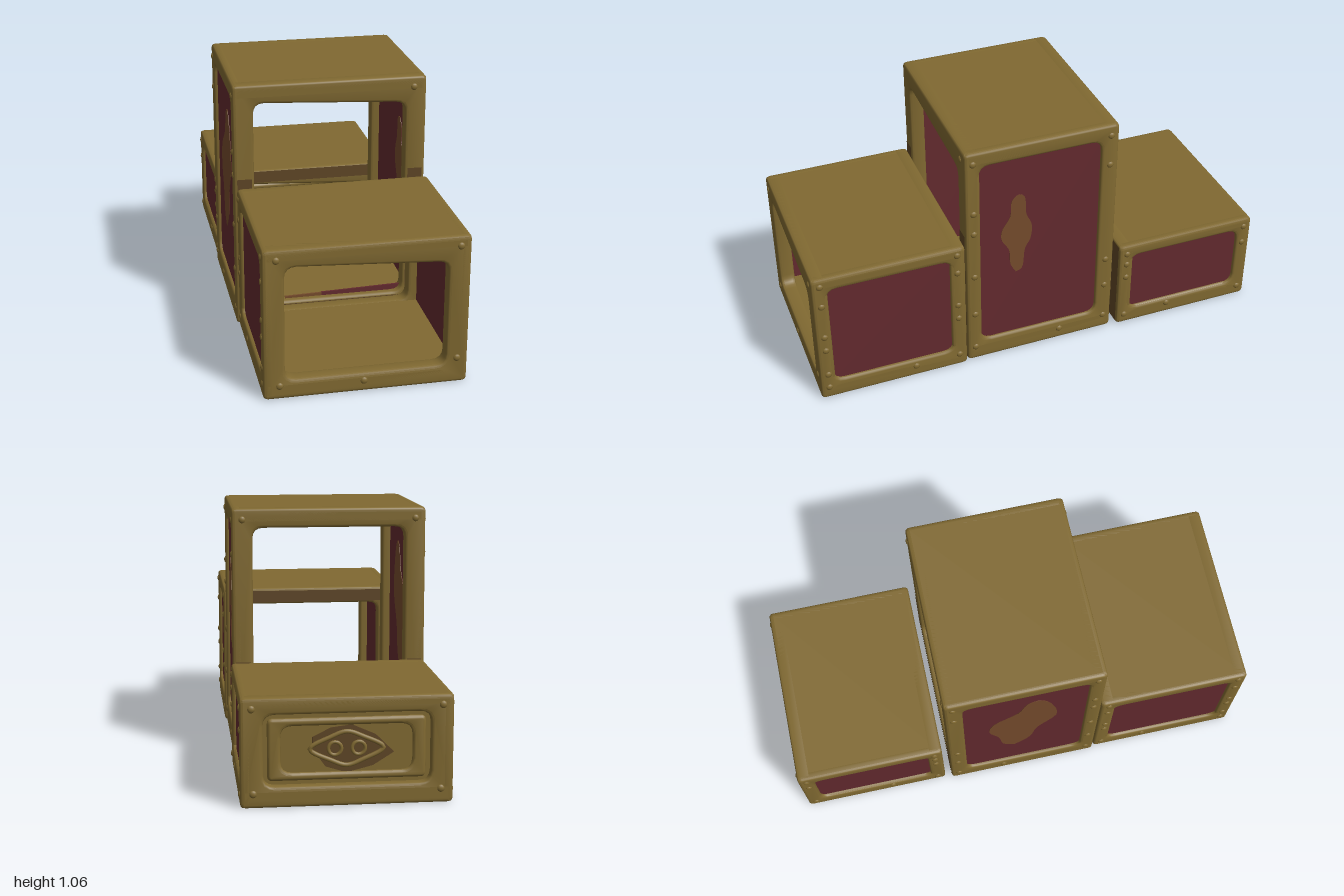
import * as THREE from 'three';
import { toCreasedNormals } from 'three/addons/utils/BufferGeometryUtils.js';
import { RoundedBoxGeometry } from 'three/addons/geometries/RoundedBoxGeometry.js';

const paint = (name, color) => Object.assign(new THREE.MeshStandardMaterial({ color }), { name });

export function createModel() {
  const gold = paint('old brass', 0x806931);
  const red = paint('dark red', 0x632a2e);
  const rust = paint('rust mark', 0x754b2c);
  const bronze = paint('dark bronze', 0x5e4525);

  const model = new THREE.Group();
  model.name = 'threeCrates';

  const add = (parent, name, geometry, material, x = 0, y = 0, z = 0) => {
    const mesh = new THREE.Mesh(geometry, material);
    mesh.name = name;
    mesh.position.set(x, y, z);
    parent.add(mesh);
    return mesh;
  };

  // Rectangle with eased corners; its top can drop towards x1
  const outline = (C, x0, x1, y0, y1, r, drop = 0) => {
    const s = new C(), yr = y1 - drop;
    s.moveTo(x0 + r, y0);
    s.lineTo(x1 - r, y0);
    s.quadraticCurveTo(x1, y0, x1, y0 + r);
    s.lineTo(x1, yr - r);
    s.quadraticCurveTo(x1, yr, x1 - r, yr);
    s.lineTo(x0 + r, y1);
    s.quadraticCurveTo(x0, y1, x0, y1 - r);
    s.lineTo(x0, y0 + r);
    s.quadraticCurveTo(x0, y0, x0 + r, y0);
    return s;
  };

  // Bevelled frame with an opening, centred on its depth
  const frame = (outer, hole, depth, drop = 0) => {
    const shape = outline(THREE.Shape, ...outer, 0.02);
    shape.holes.push(outline(THREE.Path, ...hole, 0.045, drop));
    const b = 0.012;
    const g = new THREE.ExtrudeGeometry(shape, {
      depth: depth - 2 * b, bevelThickness: b, bevelSize: b, bevelOffset: -b,
      bevelSegments: 3, curveSegments: 4,
    });
    g.translate(0, 0, b - depth / 2);
    return toCreasedNormals(g, 0.7);
  };

  const rivetGeometry = new THREE.SphereGeometry(0.015, 10, 8);
  const rivet = (parent, x, y, z, axis) => {
    const m = add(parent, 'rivet', rivetGeometry, gold, x, y, z);
    m.scale[axis] = 0.6;
  };

  // z0/z1: back and front, h: height, side: panel [z0, z1, y0, y1], door: opening [y0, y1],
  // dark: heights of the stained ends [back, front], doorRivets: [x, y, face z]
  const crates = [
    { name: 'frontCrate', shift: 0.003, z0: 0.35, z1: 0.995, h: 0.625,
      side: [0.41, 0.935, 0.088, 0.565], door: [0.082, 0.552], dark: [0.613, 0],
      posts: [[0.06, 0.13, 0.26, 0.33, 0.49, 0.59], [0.06, 0.26, 0.33, 0.5, 0.59]], sill: 0.58,
      doorRivets: [[-0.35, 0.585, 0.993], [0.36, 0.585, 0.993], [-0.34, 0.06, 0.993], [0.36, 0.11, 0.993], [-0.01, 0.05, 0.993]] },
    { name: 'tallCrate', shift: -0.006, z0: -0.325, z1: 0.343, h: 1.06,
      side: [-0.25, 0.28, 0.1, 0.99], door: [0.09, 0.98], dark: [0.42, 0.66],
      posts: [[0.07, 0.25, 0.45, 0.67, 0.77, 1.01], [0.07, 0.24, 0.38, 0.87, 1.01]], sill: -0.08,
      doorRivets: [[0.35, 1.015, 0.341], [-0.36, 1.015, -0.323], [0.36, 1.015, -0.323]] },
    { name: 'rearCrate', shift: 0.004, z0: -0.995, z1: -0.355, h: 0.425,
      side: [-0.93, -0.41, 0.08, 0.37], door: [0.085, 0.36], dark: [0, 0.422],
      posts: [[0.05, 0.26, 0.33, 0.385], [0.05, 0.3, 0.385]], sill: -0.6,
      doorRivets: [[-0.355, 0.06, -0.993], [0.355, 0.06, -0.993], [-0.36, 0.385, -0.993], [0.36, 0.385, -0.993]] },
  ];

  for (const { name, shift, z0, z1, h, side, door, dark, posts, sill, doorRivets } of crates) {
    const crate = new THREE.Group();
    crate.name = name;
    crate.position.x = shift;
    model.add(crate);
    const zc = (z0 + z1) / 2, depth = z1 - z0, base = 0.004;

    // Floor and roof
    const floorH = door[0] - 0.006, roofH = h - side[3];
    add(crate, 'floor', new RoundedBoxGeometry(0.805, floorH, depth, 3, 0.018), gold, 0, base + floorH / 2, zc);
    add(crate, 'roof', new RoundedBoxGeometry(0.805, roofH, depth, 3, 0.018), gold, 0, h - roofH / 2, zc);

    // Door frames; the front lintel sags to one side
    const opening = [-0.318, 0.317, ...door], outer = [-0.402, 0.402, base, h];
    add(crate, 'frontFrame', frame(outer, opening, 0.065, 0.028), gold, 0, 0, z1 - 0.0325);
    add(crate, 'backFrame', frame(outer, opening, 0.065), gold, 0, 0, z0 + 0.0325);
    for (const [x, y, z] of doorRivets) rivet(crate, x, y, z, 'z');

    // Stained faces where the crates meet
    [[z0 - 0.002, Math.PI], [z1 + 0.002, 0]].forEach(([z, turn], i) => {
      const top = dark[i];
      if (!top) return;
      const plates = [[-0.39, -0.329, 0.016, top], [0.329, 0.39, 0.016, top], [-0.329, 0.329, 0.016, door[0] - 0.012]];
      if (top > door[1]) plates.push([-0.329, 0.329, door[1] + 0.008, top]);
      for (const [x0, x1, y0, y1] of plates) {
        add(crate, 'stainedFace', new THREE.PlaneGeometry(x1 - x0, y1 - y0), bronze,
          (x0 + x1) / 2, (y0 + y1) / 2, z).rotation.y = turn;
      }
    });

    // Side frames with recessed panels flush on the inside
    const sideFrame = frame([z0, z1, base, h], side, 0.045);
    sideFrame.rotateY(-Math.PI / 2);
    const panel = new THREE.BoxGeometry(0.033, side[3] - side[2] + 0.02, side[1] - side[0] + 0.02);
    for (const s of [-1, 1]) {
      add(crate, 'sideFrame', sideFrame, gold, s * 0.38, 0, 0);
      add(crate, 'sidePanel', panel, red, s * 0.371, (side[2] + side[3]) / 2, (side[0] + side[1]) / 2);

      // Rivets on the side posts and sill
      for (const y of posts[0]) rivet(crate, s * 0.4, y, z1 - 0.035, 'x');
      for (const y of posts[1]) rivet(crate, s * 0.4, y, z0 + 0.035, 'x');
      rivet(crate, s * 0.4, 0.055, sill, 'x');
    }
  }

  // Worn marks on both faces of the tall crate's panels; points are [z, y]
  const tall = model.getObjectByName('tallCrate');
  const mark = (points, s) => {
    const curve = new THREE.SplineCurve([...points, points[0]].map(p => new THREE.Vector2(...p)));
    const g = new THREE.ExtrudeGeometry(new THREE.Shape(curve.getPoints(48).slice(0, -1)),
      { depth: 0.004, bevelEnabled: false });
    g.translate(0, 0, -0.002);
    g.rotateY(-Math.PI / 2);
    for (const x of [0.3875, 0.3545]) add(tall, 'wornMark', g, rust, s * x);
  };
  mark([[0.12, 0.42], [0.145, 0.47], [0.15, 0.54], [0.183, 0.6], [0.18, 0.65], [0.145, 0.71], [0.14, 0.78],
    [0.11, 0.81], [0.08, 0.79], [0.075, 0.71], [0.05, 0.65], [0.055, 0.58], [0.08, 0.53], [0.09, 0.44]], 1);
  mark([[-0.03, 0.3], [0.04, 0.38], [0.07, 0.5], [0.15, 0.63], [0.13, 0.78], [0.08, 0.87], [0.02, 0.85],
    [-0.02, 0.75], [-0.12, 0.66], [-0.14, 0.56], [-0.1, 0.46], [-0.08, 0.35]], -1);

  // Rust and red streak along the tall crate's doorsill
  add(tall, 'sillRust', new THREE.BoxGeometry(0.16, 0.022, 0.008), rust, -0.11, 0.09, 0.31).rotation.z = 0.03;
  add(tall, 'sillStreak', new THREE.BoxGeometry(0.35, 0.026, 0.008), red, 0.145, 0.097, 0.31).rotation.z = 0.03;

  // Ornamented rear wall
  const wall = new THREE.Group();
  wall.name = 'rearWall';
  wall.position.set(0, 0.22, -0.955);
  model.getObjectByName('rearCrate').add(wall);
  add(wall, 'plate', new THREE.BoxGeometry(0.66, 0.28, 0.012), gold);
  add(wall, 'plateBorder', frame([-0.3, 0.3, -0.12, 0.12], [-0.25, 0.25, -0.09, 0.09], 0.04), gold);

  // Lens-shaped dark field on both faces
  const lens = new THREE.Shape([[-0.18, -0.02], [-0.1, -0.07], [0, -0.095], [0.08, -0.07], [0.13, 0],
    [0.13, 0.045], [0.06, 0.08], [-0.02, 0.09], [-0.11, 0.05]].map(p => new THREE.Vector2(...p)));
  add(wall, 'darkField', new THREE.ExtrudeGeometry(lens, { depth: 0.018, bevelEnabled: false }), bronze, 0, 0, -0.009);

  // Raised diamond with two rings
  const diamond = new THREE.CatmullRomCurve3([[-0.14, 0], [-0.06, 0.045], [0, 0.065], [0.06, 0.045], [0.14, 0],
    [0.06, -0.045], [0, -0.065], [-0.06, -0.045]].map(([x, y]) => new THREE.Vector3(x, y, 0)), true);
  add(wall, 'diamond', new THREE.TubeGeometry(diamond, 48, 0.009, 8, true), gold, 0, 0, -0.012);
  for (const s of [-1, 1]) {
    add(wall, 'ring', new THREE.TorusGeometry(0.025, 0.007, 8, 20), gold, s * 0.045, 0, -0.012);
  }
  add(wall, 'innerBoss', new THREE.TorusGeometry(0.025, 0.007, 8, 20), gold, 0.02, -0.04, 0.01);

  return model;
}
